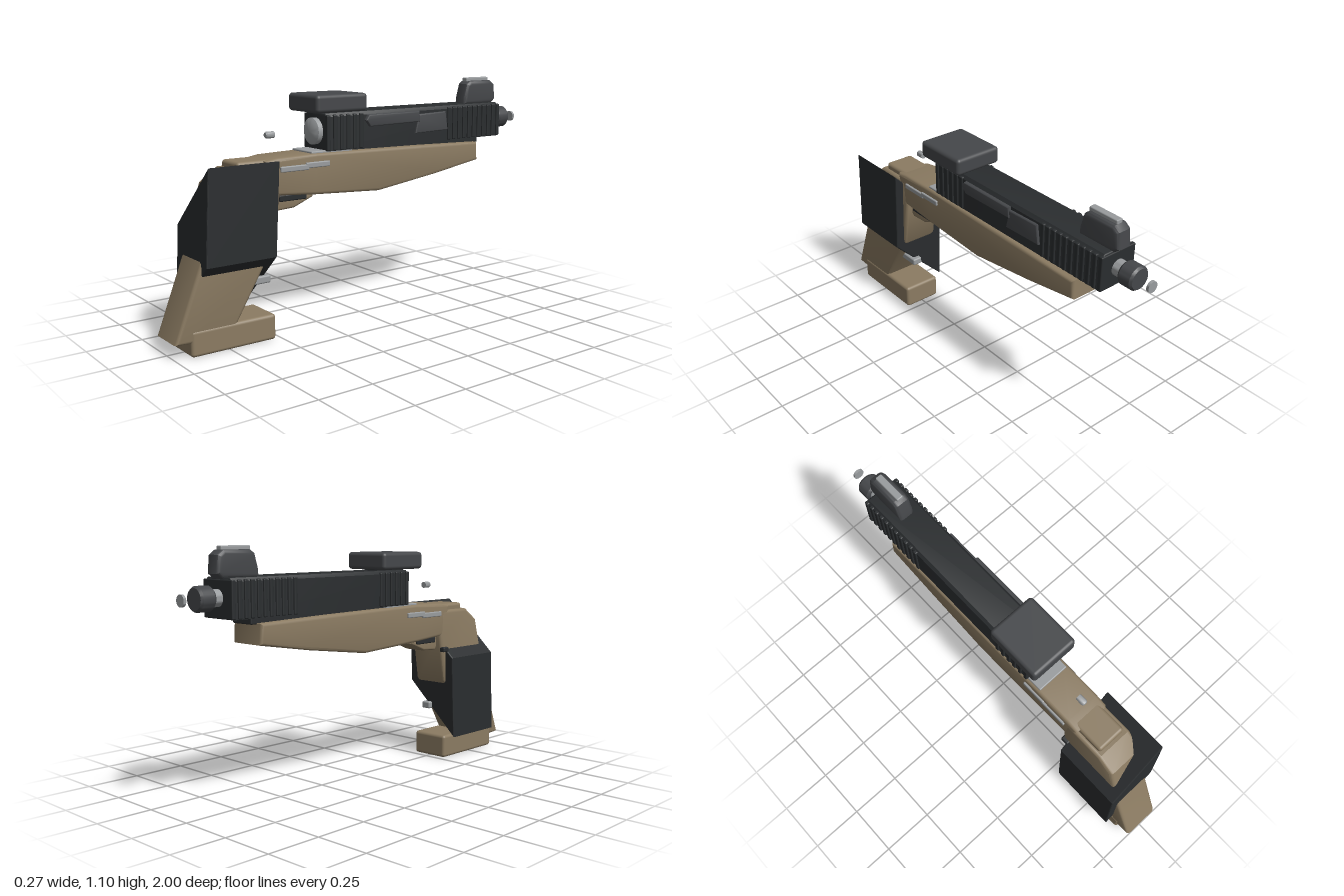
import * as THREE from 'three';
import { toCreasedNormals } from 'three/addons/utils/BufferGeometryUtils.js';
import { RoundedBoxGeometry } from 'three/addons/geometries/RoundedBoxGeometry.js';

const mat = (color) => new THREE.MeshStandardMaterial({ color });

export function createModel() {
  const model = new THREE.Group();
  const tan = mat(0x8b7b62), black = mat(0x2a2d2f), dark = mat(0x45474a), grey = mat(0x999c9e);

  const add = (name, geometry, material, x = 0, y = 0, z = 0) => {
    const mesh = new THREE.Mesh(geometry, material);
    mesh.name = name;
    mesh.position.set(x, y, z);
    model.add(mesh);
    return mesh;
  };

  // Bevelled prism: outline points, total depth, centred on its depth
  const prism = (points, depth, bevel) => {
    const shape = new THREE.Shape(points.map(([a, b]) => new THREE.Vector2(a, b)));
    const g = new THREE.ExtrudeGeometry(shape, {
      depth: depth - 2 * bevel, bevelEnabled: true, bevelThickness: bevel,
      bevelSize: bevel, bevelOffset: -bevel, bevelSegments: 3,
    });
    g.translate(0, 0, -(depth - 2 * bevel) / 2);
    return toCreasedNormals(g, 0.6);
  };
  // Side profile given as [z, y], spread across x
  const side = (points, width, bevel) => prism(points, width, bevel).rotateY(-Math.PI / 2);
  // Rounded block from its limits
  const block = (name, material, [x0, x1], [y0, y1], [z0, z1], r = 0.01) =>
    add(name, new RoundedBoxGeometry(x1 - x0, y1 - y0, z1 - z0, 3, r), material,
      (x0 + x1) / 2, (y0 + y1) / 2, (z0 + z1) / 2);
  // Turned part along z: profile as [radius, z]
  const turned = (name, material, points, y) => {
    const g = new THREE.LatheGeometry(points.map(([r, z]) => new THREE.Vector2(r, z)), 32);
    return add(name, toCreasedNormals(g.rotateX(Math.PI / 2), 0.6), material, 0, y, 0);
  };

  // Lower frame with tapering belly
  add('frame', side([[0.56, 0.785], [0.5, 0.795], [0.3, 0.8], [-0.3, 0.79], [-0.67, 0.78],
    [-0.675, 0.69], [-0.4, 0.645], [-0.05, 0.598], [0.3, 0.617], [0.52, 0.635]], 0.184, 0.014), tan);

  // Slanted grip
  add('grip', side([[0.5, 0.76], [0.7, 0.76], [0.785, 0.7], [0.87, 0.405], [1.0, 0.065], [0.93, 0.06],
    [0.74, 0.06], [0.56, 0.36], [0.527, 0.4], [0.49, 0.63]], 0.186, 0.016), tan);
  block('gripTang', tan, [-0.072, 0.072], [0.68, 0.79], [0.5, 0.685], 0.015);
  block('gripBase', tan, [-0.096, 0.096], [0, 0.115], [0.525, 0.93], 0.015);

  // Slanted shroud around the grip, leaning forward towards the bottom
  const shroud = prism([[-0.137, 0.11], [0.09, 0.335], [0.135, 0.38], [0.135, 0.79], [-0.137, 0.52]], 0.335, 0.006);
  const p = shroud.attributes.position;
  for (let i = 0; i < p.count; i++) p.setZ(i, p.getZ(i) + 0.7 + (0.5 - p.getY(i)) * 0.05);
  shroud.computeVertexNormals();
  add('gripShroud', shroud, black);
  block('gripCatch', grey, [0.0, 0.05], [0.245, 0.28], [0.52, 0.64], 0.008);

  // Trigger guard and trigger
  add('triggerGuard', side([[0.3, 0.63], [0.3, 0.605], [0.4, 0.565], [0.49, 0.56], [0.52, 0.6], [0.52, 0.63]], 0.12, 0.01), tan);
  block('trigger', black, [-0.07, 0.07], [0.6, 0.63], [0.34, 0.48], 0.006);
  block('releaseButton', black, [-0.108, -0.08], [0.55, 0.575], [0.5, 0.54], 0.006);

  // Slide
  add('slide', prism([[-0.086, 0.803], [0.086, 0.803], [0.086, 0.955], [0.073, 0.97],
    [-0.073, 0.97], [-0.086, 0.955]], 1.06, 0.006), black, 0, 0, -0.285);
  block('slideRail', black, [-0.06, 0.06], [0.775, 0.815], [-0.7, 0.2], 0.006);

  // Grip ribs at both ends of the slide
  const rib = new RoundedBoxGeometry(0.186, 0.158, 0.02, 2, 0.005);
  const ribRow = (name, from, to, count) => {
    for (let i = 0; i < count; i++)
      add(name, rib, black, 0, 0.884, from + ((to - from) * i) / (count - 1));
  };
  ribRow('frontRib', 0.055, 0.235, 6);
  ribRow('rearRib', -0.48, -0.81, 11);

  // Raised bar and port cover on the left side
  add('sideBar', side([[0.035, 0.93], [0.02, 0.955], [-0.28, 0.955], [-0.285, 0.905],
    [0.01, 0.9]], 0.04, 0.006), dark, 0.083);
  add('portCover', side([[-0.28, 0.94], [-0.45, 0.945], [-0.465, 0.855], [-0.26, 0.85]], 0.03, 0.006), dark, 0.083);

  // Levers and cover plate of the frame
  for (const s of [-1, 1]) {
    const x = [s * 0.094 - 0.007, s * 0.094 + 0.007];
    block('slideLever', grey, x, [0.74, 0.765], [0.235, 0.36], 0.005);
    block('slideLever', grey, x, [0.733, 0.758], [0.345, 0.49], 0.005);
  }
  block('coverPlate', grey, [-0.08, 0.08], [0.785, 0.808], [0.1, 0.32], 0.005);

  // Muzzle end: barrel face and floating pin
  turned('barrelFace', grey, [[0, 0.2], [0.06, 0.2], [0.06, 0.268], [0.045, 0.277], [0, 0.282]], 0.888);
  turned('frontPin', grey, [[0, 0.465], [0.015, 0.465], [0.015, 0.5], [0.011, 0.507], [0, 0.507]], 0.886);

  // Rear knob with collar and end disc
  turned('knobCollar', grey, [[0, -0.87], [0.036, -0.87], [0.036, -0.8], [0, -0.8]], 0.888);
  turned('rearKnob', dark, [[0, -0.935], [0.045, -0.935], [0.053, -0.925], [0.053, -0.87],
    [0.045, -0.86], [0, -0.86]], 0.888);
  turned('endDisc', grey, [[0, -1], [0.025, -1], [0.025, -0.988], [0, -0.988]], 0.886);

  // Front and rear sights
  block('frontSight', dark, [-0.118, 0.118], [0.975, 1.055], [0.04, 0.315], 0.017);
  block('frontSightMount', black, [-0.04, 0.04], [0.955, 0.985], [0.08, 0.24], 0.006);
  add('rearSight', side([[-0.63, 0.965], [-0.632, 1.0], [-0.65, 1.065], [-0.672, 1.08], [-0.81, 1.08],
    [-0.838, 1.06], [-0.845, 0.985], [-0.82, 0.965]], 0.076, 0.016), dark);
  block('rearSightStrip', grey, [-0.016, 0.016], [1.075, 1.096], [-0.81, -0.66], 0.005);

  return model;
}
